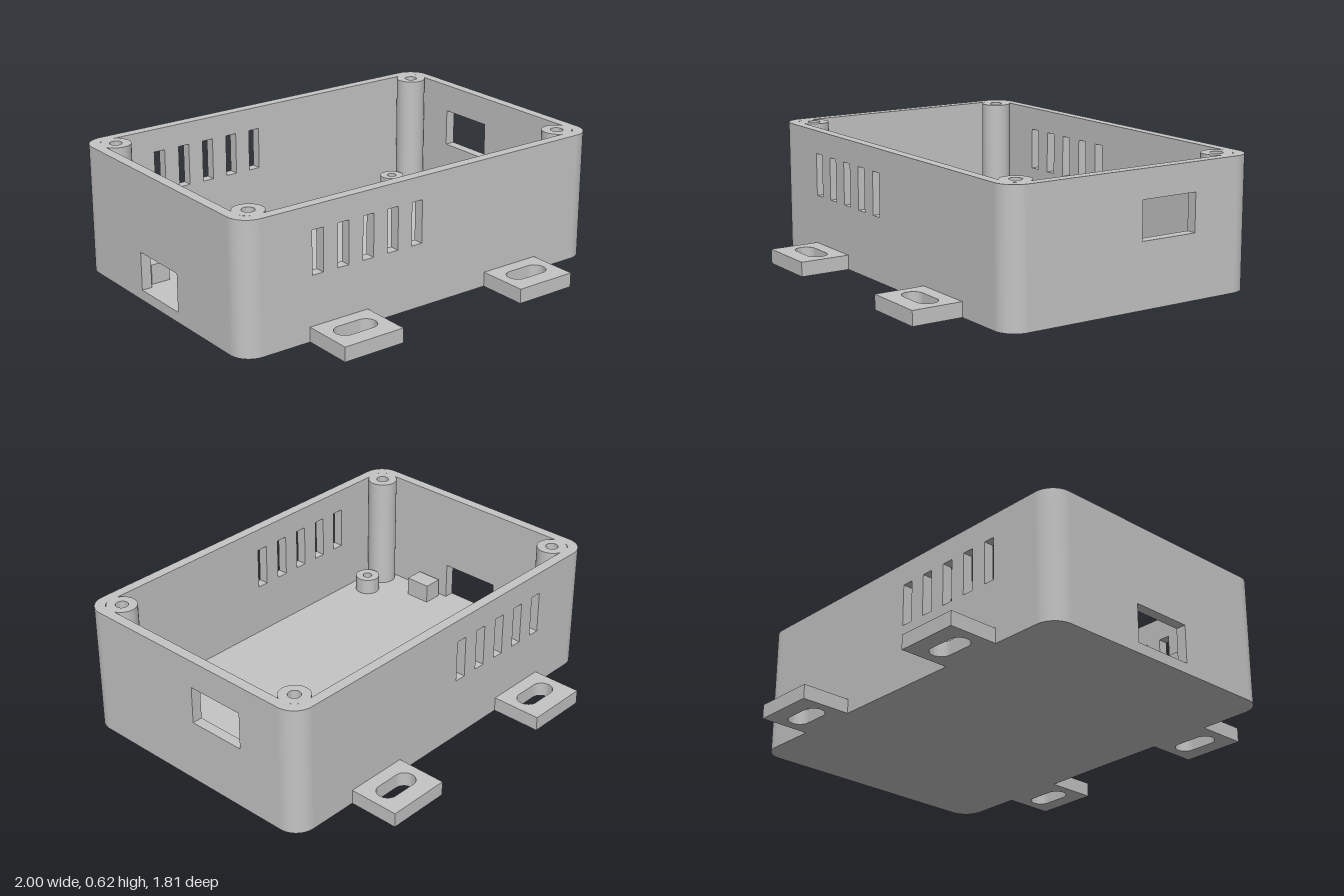
import * as THREE from 'three';
import { toCreasedNormals } from 'three/addons/utils/BufferGeometryUtils.js';

const W = 1, D = 0.66, H = 0.625;      // half width, half depth, height
const R = 0.1, T = 0.05, FLOOR = 0.05; // corner radius, wall and floor thickness

const grey = new THREE.MeshStandardMaterial({ color: 0xc4c4c4 });
grey.name = 'light grey plastic';

export function createModel() {
  const model = new THREE.Group();
  model.name = 'enclosure';

  const add = (name, geometry, x = 0, y = 0, z = 0) => {
    const mesh = new THREE.Mesh(geometry, grey);
    mesh.name = name;
    mesh.position.set(x, y, z);
    model.add(mesh);
    return mesh;
  };

  const extrude = (shape, depth) => toCreasedNormals(
    new THREE.ExtrudeGeometry(shape, { depth, bevelEnabled: false, curveSegments: 14 }), 0.5);

  // Extrude a plan outline upwards
  const extrudeUp = (shape, height) => extrude(shape, height).rotateX(-Math.PI / 2);

  const rect = (x0, y0, x1, y1, Type = THREE.Shape) => new Type([
    new THREE.Vector2(x0, y0), new THREE.Vector2(x1, y0),
    new THREE.Vector2(x1, y1), new THREE.Vector2(x0, y1)]);

  // Flat wall with rectangular openings [x0, y0, x1, y1]
  const wall = (half, openings) => {
    const shape = rect(-half, 0, half, H);
    for (const o of openings) shape.holes.push(rect(...o, THREE.Path));
    return extrude(shape, T);
  };

  // Upright tube, open at the top
  const tube = (outer, inner, y0, y1) => toCreasedNormals(new THREE.LatheGeometry([
    new THREE.Vector2(outer, y0), new THREE.Vector2(outer, y1),
    new THREE.Vector2(inner, y1), new THREE.Vector2(inner, y0)], 40), 0.5);

  // Long walls with five vents each
  const vents = [];
  for (let i = 0; i < 5; i++) {
    const x = -0.612 + i * 0.136;
    vents.push([x - 0.029, 0.307, x + 0.029, 0.513]);
  }
  add('frontWall', wall(W - R, vents), 0, 0, D - T);
  add('backWall', wall(W - R, vents), 0, 0, -D);

  // End walls with one port each
  add('leftWall', wall(D - R, [[0.034, 0.307, 0.327, 0.489]]), W - T).rotation.y = Math.PI / 2;
  add('rightWall', wall(D - R, [[-0.15, FLOOR, 0.155, 0.235]]), -W).rotation.y = Math.PI / 2;

  // Rounded wall corners
  const arc = new THREE.Shape();
  arc.absarc(0, 0, R, 0, Math.PI / 2, false);
  arc.absarc(0, 0, R - T, Math.PI / 2, 0, true);
  const cornerGeometry = extrudeUp(arc, H);
  const corners = [[1, -1], [-1, -1], [-1, 1], [1, 1]];
  corners.forEach(([sx, sz], i) => {
    add('wallCorner', cornerGeometry, sx * (W - R), 0, sz * (D - R)).rotation.y = i * Math.PI / 2;
  });

  // Floor fitted between the walls
  const plan = new THREE.Shape();
  const r = R - T, cx = W - R, cz = D - R;
  plan.absarc(cx, cz, r, 0, Math.PI / 2, false);
  plan.absarc(-cx, cz, r, Math.PI / 2, Math.PI, false);
  plan.absarc(-cx, -cz, r, Math.PI, Math.PI * 1.5, false);
  plan.absarc(cx, -cz, r, Math.PI * 1.5, Math.PI * 2, false);
  add('floor', extrudeUp(plan, FLOOR));

  // Slotted mounting tab
  const tab = rect(-0.157, -0.125, 0.157, 0.122);
  const slot = new THREE.Path();
  slot.absarc(0.057, -0.01, 0.05, -Math.PI / 2, Math.PI / 2, false);
  slot.absarc(-0.057, -0.01, 0.05, Math.PI / 2, Math.PI * 1.5, false);
  tab.holes.push(slot);
  const tabGeometry = extrudeUp(tab, 0.07);

  // Screw posts, board standoffs and tabs at the four corners
  const postGeometry = tube(0.072, 0.03, FLOOR, H);
  const standoffGeometry = tube(0.06, 0.023, FLOOR, 0.13);
  for (const [sx, sz] of corners) {
    add('screwPost', postGeometry, sx * 0.883, 0, sz * 0.543);
    add('standoff', standoffGeometry, sx * 0.736, 0, sz * 0.51);
    add('mountingTab', tabGeometry, sx * 0.498, 0, sz * 0.785).rotation.y = sz > 0 ? Math.PI : 0;
  }

  // Guide blocks beside the low port
  for (const s of [-1, 1]) {
    add('guideBlock', new THREE.BoxGeometry(0.094, 0.095, 0.13), -0.883, FLOOR + 0.0475, s * 0.25);
  }

  return model;
}
